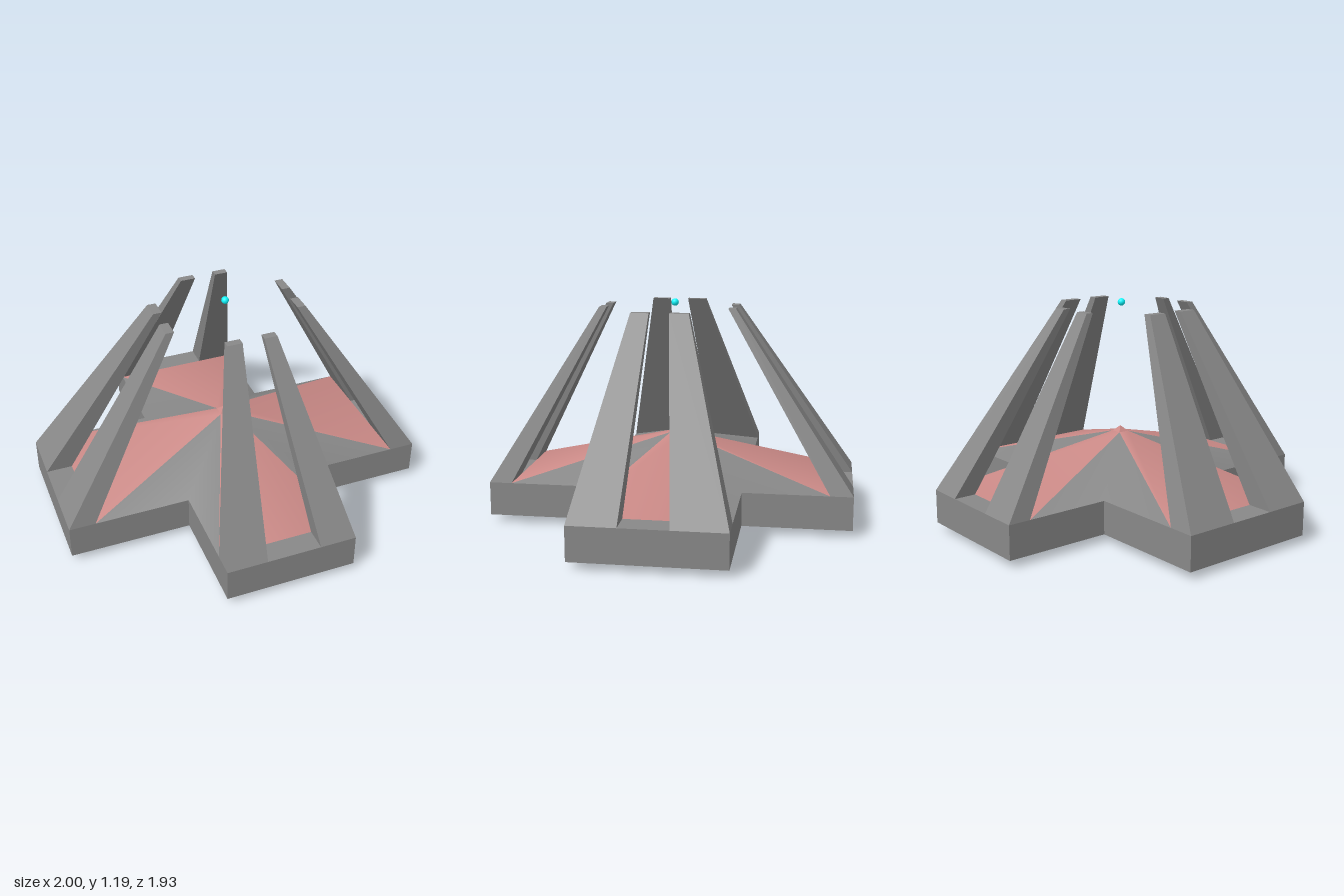
import * as THREE from 'three';
import { ConvexGeometry } from 'three/addons/geometries/ConvexGeometry.js';
import { mergeGeometries, toCreasedNormals } from 'three/addons/utils/BufferGeometryUtils.js';

const GREY = new THREE.MeshStandardMaterial({ color: 0x888888 });
const RED = new THREE.MeshStandardMaterial({ color: 0xcb8a87 });
const TEAL = new THREE.MeshStandardMaterial({ color: 0x10f8ff });

const HX = 0.35, HZ = 0.39;               // half widths of the cross arms
const LX = 1, LZ = 0.965;                 // arm lengths
const FLOOR = 0.04, DECK = 0.22, PEAK = 0.455, TIP = 1.15;
const CORE = 0.03;                        // half width of the central cap
const CREASE = THREE.MathUtils.degToRad(50);

// Each spike lists v as [outer foot, inner foot, inner tip, outer tip]
const Z_SPIKES = [[-HX, -0.135, -0.055, -0.135], [HX, 0.155, 0.06, 0.13]];
const X_SPIKES = [[-HZ, -0.11, -0.015, -0.115], [HZ, 0.14, 0.09, 0.185]];

// u runs outward along the arm, v across it; tipOut/tipIn are u at the spike tips
const ARMS = [
  { at: (u, y, v) => new THREE.Vector3(v, y, u), len: LZ, foot: 0.845, half: HX, inner: HZ, tipOut: 0.4, tipIn: 0.36, spikes: Z_SPIKES },
  { at: (u, y, v) => new THREE.Vector3(v, y, -u), len: LZ, foot: 0.845, half: HX, inner: HZ, tipOut: 0.33, tipIn: 0.29, spikes: Z_SPIKES },
  { at: (u, y, v) => new THREE.Vector3(u, y, v), len: LX, foot: 0.86, half: HZ, inner: HX, tipOut: 0.38, tipIn: 0.335, spikes: X_SPIKES },
  { at: (u, y, v) => new THREE.Vector3(-u, y, v), len: LX, foot: 0.86, half: HZ, inner: HX, tipOut: 0.38, tipIn: 0.335, spikes: X_SPIKES },
];

// Flat convex panel, always turned to face upward
function panel(points) {
  const n = points[1].clone().sub(points[0]).cross(points[2].clone().sub(points[0]));
  const p = n.y < 0 ? [...points].reverse() : points;
  const tris = [];
  for (let i = 1; i < p.length - 1; i++) tris.push(p[0], p[i], p[i + 1]);
  return new THREE.BufferGeometry().setFromPoints(tris);
}

// Cross-shaped slab; its outline has extra points where the spikes stand
function slab() {
  const [zl, zr] = Z_SPIKES.map((s) => s[1]);
  const [xb, xf] = X_SPIKES.map((s) => -s[1]);
  const outline = [
    [HX, LZ], [HX, HZ], [LX, HZ], [LX, xb], [LX, xf], [LX, -HZ],
    [HX, -HZ], [HX, -LZ], [zr, -LZ], [zl, -LZ], [-HX, -LZ], [-HX, -HZ],
    [-LX, -HZ], [-LX, xf], [-LX, xb], [-LX, HZ], [-HX, HZ], [-HX, LZ], [zl, LZ], [zr, LZ]];
  const cross = new THREE.Shape(outline.map(([x, y]) => new THREE.Vector2(x, y)));
  const g = new THREE.ExtrudeGeometry(cross, { depth: DECK - FLOOR, bevelEnabled: false });
  g.deleteAttribute('uv');
  return g.rotateX(-Math.PI / 2).translate(0, FLOOR, 0);
}

// Tapering spike leaning inward
function spike(arm, [footOuter, footInner, tipInner, tipOuter]) {
  const corners = [];
  for (const v of [footOuter, footInner])
    corners.push(arm.at(arm.len, DECK, v), arm.at(arm.foot, DECK, v));
  for (const v of [tipInner, tipOuter])
    corners.push(arm.at(arm.tipOut, TIP, v), arm.at(arm.tipIn, TIP, v));
  return new ConvexGeometry(corners);
}

// Sloped panel down the middle of an arm
const redPanel = ({ at, foot, half }) => panel([
  at(foot, DECK, -half), at(foot, DECK, half), at(CORE, PEAK, CORE), at(CORE, PEAK, -CORE)]);

// Panel between a red panel and the inner corner of the cross
const greyPanel = ({ at, foot, half, inner }, side) => panel([
  at(foot, DECK, side * half), at(inner, DECK, side * half), at(CORE, PEAK, side * CORE)]);

export function createModel() {
  const model = new THREE.Group();
  model.name = 'crossPlatform';
  const add = (name, geometry, material) => {
    const mesh = new THREE.Mesh(geometry, material);
    mesh.name = name;
    model.add(mesh);
    return mesh;
  };

  // Slab and spikes, shaded as one so the walls flow into the spikes
  const spikes = ARMS.flatMap((arm) => arm.spikes.map((s) => spike(arm, s)));
  add('baseAndSpikes', toCreasedNormals(mergeGeometries([slab(), ...spikes]), CREASE), GREY);

  // Roof, softly shaded over its ridges
  const greyRoof = mergeGeometries(ARMS.flatMap((arm) => [greyPanel(arm, -1), greyPanel(arm, 1)]));
  const redRoof = mergeGeometries(ARMS.map(redPanel));
  add('roof', toCreasedNormals(mergeGeometries([greyRoof, redRoof], true), CREASE), [GREY, RED]);

  // Foot under the slab
  add('foot', new THREE.BoxGeometry(0.34, FLOOR, 0.4), GREY).position.y = FLOOR / 2;

  // Small pyramid capping the roof
  const cap = new THREE.ConeGeometry(CORE * Math.SQRT2, 0.03, 4).rotateY(Math.PI / 4);
  add('centreCap', toCreasedNormals(cap, 0.3), RED).position.y = PEAK + 0.015;

  // Floating orb
  add('orb', new THREE.SphereGeometry(0.02, 20, 14), TEAL).position.set(0.003, 1.167, 0.01);

  return model;
}
